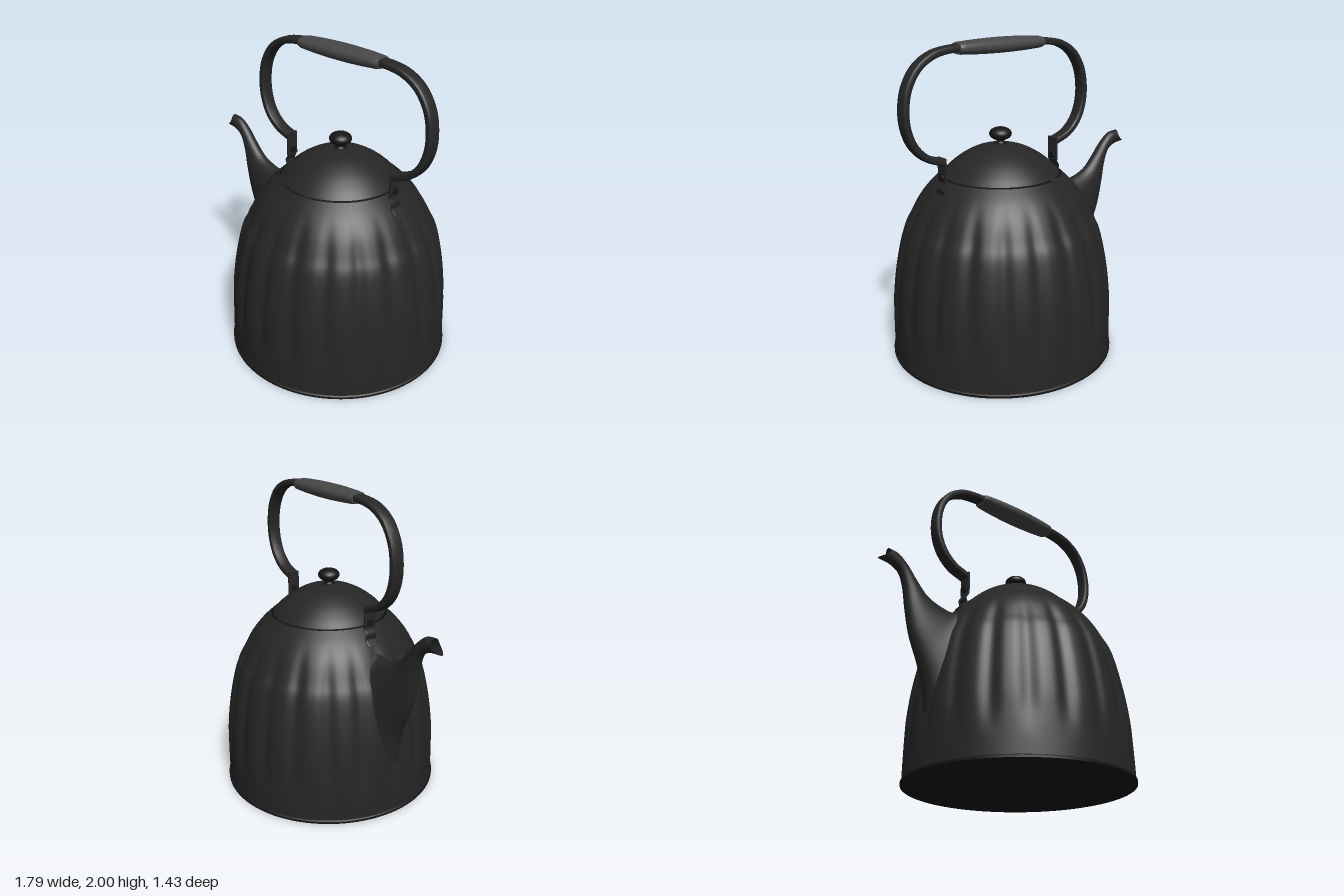
import * as THREE from 'three';
import { mergeVertices, toCreasedNormals } from 'three/addons/utils/BufferGeometryUtils.js';

const AXIS = 0.18; // x of the pot's centre line
const material = (color) => new THREE.MeshStandardMaterial({ color, side: THREE.DoubleSide });
const v2 = (list) => list.map(([x, y]) => new THREE.Vector2(x, y));
const v3 = (list) => list.map(([x, y, z = 0]) => new THREE.Vector3(x, y, z));
const smooth = (list, n) => new THREE.SplineCurve(v2(list)).getPoints(n);

function addMesh(parent, name, geometry, mat) {
  const mesh = new THREE.Mesh(geometry, mat);
  mesh.name = name;
  parent.add(mesh);
  return mesh;
}

// Skin a list of closed rings, optionally capping both ends
function loft(rings, capped = false) {
  const n = rings[0].length, pos = [], idx = [];
  rings.forEach((ring) => ring.forEach((p) => pos.push(p.x, p.y, p.z)));
  for (let i = 0; i < rings.length - 1; i++) {
    for (let j = 0; j < n; j++) {
      const a = i * n + j, b = i * n + (j + 1) % n;
      idx.push(a, b, a + n, b, b + n, a + n);
    }
  }
  if (capped) {
    const last = (rings.length - 1) * n;
    for (let j = 1; j < n - 1; j++) {
      idx.push(0, j + 1, j, last, last + j, last + j + 1);
    }
  }
  const g = new THREE.BufferGeometry();
  g.setAttribute('position', new THREE.Float32BufferAttribute(pos, 3));
  g.setIndex(idx);
  g.computeVertexNormals();
  return capped ? toCreasedNormals(g, 0.9) : g;
}

// Superelliptic ring: up = half height vector, width = half depth in z
function ring(centre, up, width, n, power = 1) {
  const soft = (t) => Math.sign(t) * Math.abs(t) ** power;
  return Array.from({ length: n }, (_, j) => {
    const a = (j / n) * Math.PI * 2;
    const p = centre.clone().addScaledVector(up, soft(Math.cos(a)));
    p.z += width * soft(Math.sin(a));
    return p;
  });
}

// Lathed wall pressed in along 20 soft vertical flutes
function flutedBody() {
  const profile = smooth([[0.707, 0.015], [0.706, 0.1], [0.704, 0.25], [0.698, 0.4], [0.672, 0.6], [0.627, 0.8],
    [0.58, 0.9], [0.52, 1.01], [0.45, 1.1], [0.378, 1.168]], 48);
  let g = new THREE.LatheGeometry(profile, 240);
  const p = g.attributes.position;
  for (let i = 0; i < p.count; i++) {
    const x = p.getX(i), y = p.getY(i), z = p.getZ(i);
    const fade = THREE.MathUtils.smoothstep(y, 0.1, 0.4) * (1 - THREE.MathUtils.smoothstep(y, 0.85, 1.15));
    const groove = (0.5 + 0.5 * Math.cos(20 * Math.atan2(z, x))) ** 2;
    const k = 1 - 0.028 * fade * groove;
    p.setXYZ(i, x * k, y, z * k);
  }
  g.deleteAttribute('uv');
  g.deleteAttribute('normal');
  g = mergeVertices(g, 1e-4);
  g.computeVertexNormals();
  return g;
}

// Spout from mouth to root; third value of the lower edge is the half width
function spout() {
  const lower = new THREE.CatmullRomCurve3(v3([[-0.9, 1.213, 0.036], [-0.81, 1.2, 0.036], [-0.75, 1.165, 0.038],
    [-0.715, 1.08, 0.046], [-0.69, 0.94, 0.06], [-0.65, 0.78, 0.078], [-0.585, 0.63, 0.1],
    [-0.535, 0.49, 0.125], [-0.515, 0.34, 0.14]]));
  const upper = new THREE.CatmullRomCurve3(v3([[-0.84, 1.295], [-0.77, 1.284], [-0.7, 1.228], [-0.63, 1.145],
    [-0.55, 1.065], [-0.45, 1.025], [-0.36, 1.013], [-0.28, 1.05], [-0.2, 1.06]]));
  const rings = [];
  for (let i = 0; i <= 48; i++) {
    const lo = lower.getPoint(i / 48), hi = upper.getPoint(i / 48);
    const width = lo.z;
    lo.z = 0;
    const centre = lo.clone().lerp(hi, 0.5), up = hi.clone().sub(lo).multiplyScalar(0.5);
    const r = ring(centre, up, width, 32);
    // scoop the sides of the mouth
    const scoop = 0.03 * Math.max(0, 1 - i / 6);
    r.forEach((p) => { p.x += scoop * (1 - (p.z / width) ** 2 < 0 ? 0 : (p.z / width) ** 2); });
    rings.push(r);
  }
  return loft(rings);
}

// Sweep a rounded strap along a path lying in the xy plane
function strap(curve, steps, thick, width, power) {
  const rings = [];
  for (let i = 0; i <= steps; i++) {
    const t = curve.getTangent(i / steps);
    const up = new THREE.Vector3(-t.y, t.x, 0).multiplyScalar(thick);
    rings.push(ring(curve.getPoint(i / steps), up, width, 24, power));
  }
  return loft(rings, true);
}

export function createModel() {
  const group = new THREE.Group();
  const enamel = material(0x262626), black = material(0x161616), gripMat = material(0x474747);
  const pot = new THREE.Group();
  pot.name = 'kettle';
  pot.position.x = AXIS;
  group.add(pot);

  // Pot and base
  addMesh(pot, 'body', flutedBody(), enamel);
  const base = new THREE.LatheGeometry(v2([[0, 0], [0.715, 0], [0.715, 0.014], [0.706, 0.02]]), 120);
  addMesh(pot, 'base', toCreasedNormals(base, 0.6), black);

  // Domed lid
  const dome = smooth([[0.366, 1.174], [0.32, 1.222], [0.25, 1.277], [0.16, 1.325], [0.07, 1.35], [0, 1.355]], 32);
  addMesh(pot, 'lid', new THREE.LatheGeometry(dome, 96), enamel);

  // Knob on a short stem
  const knob = addMesh(pot, 'knob', new THREE.SphereGeometry(1, 40, 24), black);
  knob.scale.set(0.07, 0.042, 0.07);
  knob.position.y = 1.415;
  const stem = smooth([[0.05, 1.35], [0.03, 1.36], [0.025, 1.375], [0.035, 1.395]], 12);
  addMesh(pot, 'knobStem', new THREE.LatheGeometry(stem, 32), black);

  addMesh(group, 'spout', spout(), enamel);

  // Looped handle, mirrored about the pot's centre line
  const half = [[0.435, 1.305], [0.54, 1.345], [0.62, 1.42], [0.664, 1.52], [0.675, 1.63], [0.65, 1.76],
    [0.58, 1.868], [0.48, 1.93], [0.37, 1.953], [0.25, 1.957]];
  const path = [...half.map(([x, y]) => [-x, y]), [0, 1.957], ...half.slice().reverse()];
  addMesh(pot, 'handle', strap(new THREE.CatmullRomCurve3(v3(path)), 120, 0.022, 0.042, 0.5), enamel);

  // Swollen oval grip
  const gripRings = [];
  for (let i = 0; i <= 32; i++) {
    const s = (i / 32) * 2 - 1;
    const end = Math.abs(s) > 0.99 ? 0.9 : 1;
    const up = new THREE.Vector3(0, (0.046 - 0.011 * s * s) * end, 0);
    gripRings.push(ring(new THREE.Vector3(s * 0.313, 1.954, 0), up, (0.077 - 0.017 * s * s) * end, 32, 0.85));
  }
  addMesh(pot, 'grip', loft(gripRings, true), gripMat);

  // Hanger plate, rivet and curved lug on each side
  for (const side of [-1, 1]) {
    const plate = addMesh(pot, 'hangerPlate', new THREE.BoxGeometry(0.012, 0.15, 0.08), enamel);
    plate.position.set(side * 0.432, 1.255, 0);
    const rivet = addMesh(pot, 'rivet', new THREE.CylinderGeometry(0.022, 0.022, 0.03, 24), black);
    rivet.rotation.z = Math.PI / 2;
    rivet.position.set(side * 0.433, 1.21, 0);
    const lugPath = v3([[0.434, 1.225], [0.434, 1.175], [0.452, 1.14], [0.446, 1.11], [0.478, 1.07]]
      .map(([x, y]) => [side * x, y]));
    addMesh(pot, 'lug', strap(new THREE.CatmullRomCurve3(lugPath), 24, 0.004, 0.04, 0.3), enamel);
  }
  return group;
}
